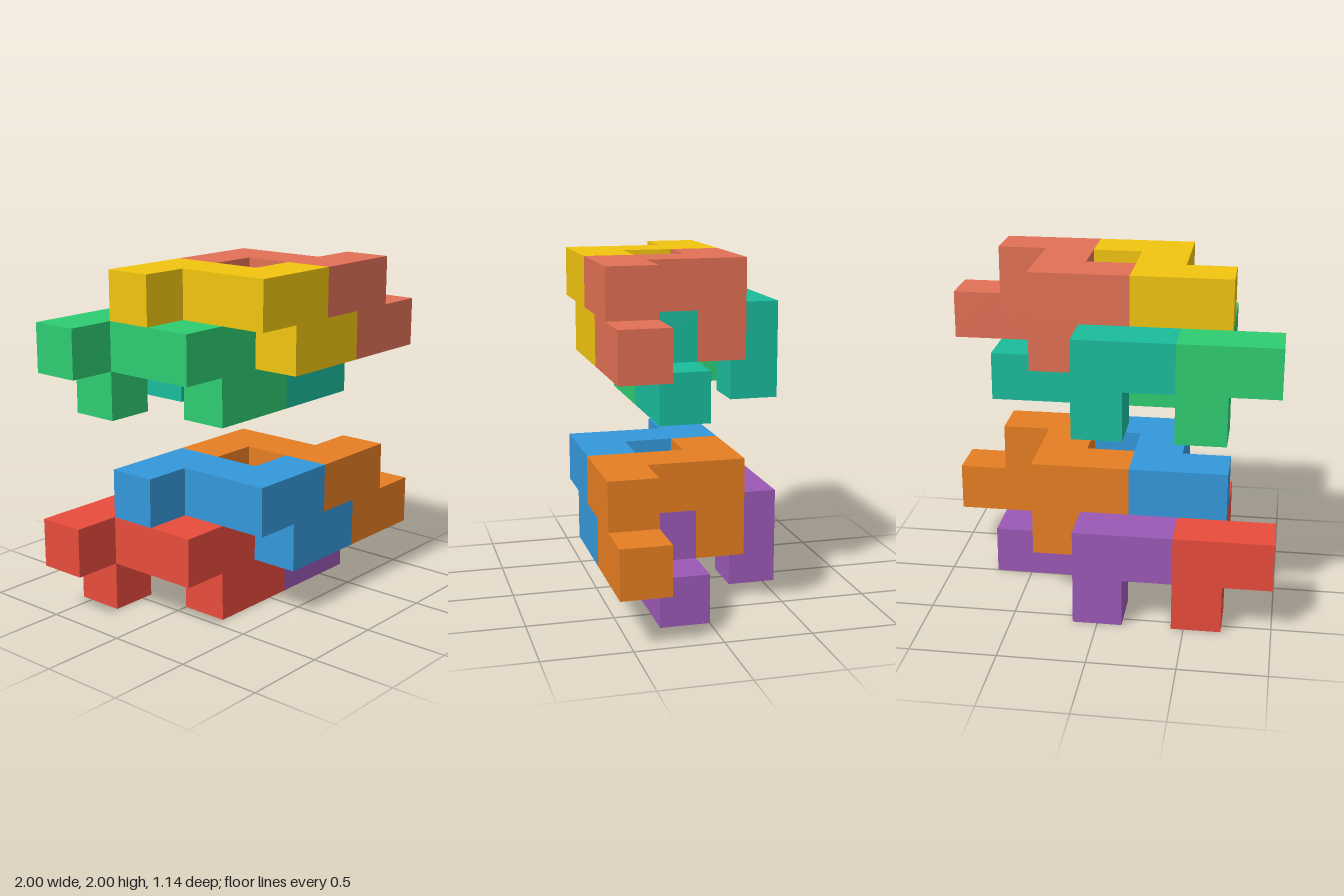
import * as THREE from 'three';
import { mergeGeometries } from 'three/addons/utils/BufferGeometryUtils.js';

const U = 2 / 7; // edge of one cube cell

// Cells (x, y, z) of the eight-cube block that every piece repeats
const CELLS = [
  [0, 1, 0], [1, 1, 0], [1, 0, 0], [1, 1, 1],
  [1, 1, 2], [2, 1, 2], [2, 0, 2], [3, 0, 2],
];

// Outer skin of a polycube: a square on each cell side that has no neighbour
function polycube(cells) {
  const filled = new Set(cells.map(String));
  const directions = [[1, 0, 0], [-1, 0, 0], [0, 1, 0], [0, -1, 0], [0, 0, 1], [0, 0, -1]];
  const forward = new THREE.Vector3(0, 0, 1);
  const faces = [];
  for (const cell of cells) {
    for (const d of directions) {
      if (filled.has(String(cell.map((c, i) => c + d[i])))) continue;
      const turn = new THREE.Quaternion();
      if (d[2] === -1) turn.set(0, 1, 0, 0);
      else turn.setFromUnitVectors(forward, new THREE.Vector3(...d));
      const face = new THREE.PlaneGeometry(U, U).applyQuaternion(turn);
      face.translate(...cell.map((c, i) => (c + 0.5 + d[i] / 2) * U));
      faces.push(face);
    }
  }
  return mergeGeometries(faces);
}

export function createModel() {
  const model = new THREE.Group();
  model.name = 'interlockingBlocks';
  const geometry = polycube(CELLS);

  // Two identical layers of four interlocking pieces, one cell apart
  const layers = [
    { name: 'lowerLayer', y: 0, colors: [0xe74c3c, 0x9b59b6, 0x3498db, 0xe67e22] },
    { name: 'upperLayer', y: 4, colors: [0x2ecc71, 0x1abc9c, 0xf1c40f, 0xe17055] },
  ];
  const pieces = [
    { name: 'backLowRightPiece', at: [0, 0, 0] },
    { name: 'backLowLeftPiece', at: [2, 0, 0] },
    { name: 'frontHighRightPiece', at: [1, 1, 1] },
    { name: 'frontHighLeftPiece', at: [3, 1, 1] },
  ];

  for (const { name, y, colors } of layers) {
    const layer = new THREE.Group();
    layer.name = name;
    layer.position.set(-1, y * U, -2 * U);
    pieces.forEach((piece, i) => {
      const material = new THREE.MeshStandardMaterial({ color: colors[i] });
      const mesh = new THREE.Mesh(geometry, material);
      mesh.name = piece.name;
      mesh.position.set(...piece.at).multiplyScalar(U);
      layer.add(mesh);
    });
    model.add(layer);
  }
  return model;
}
